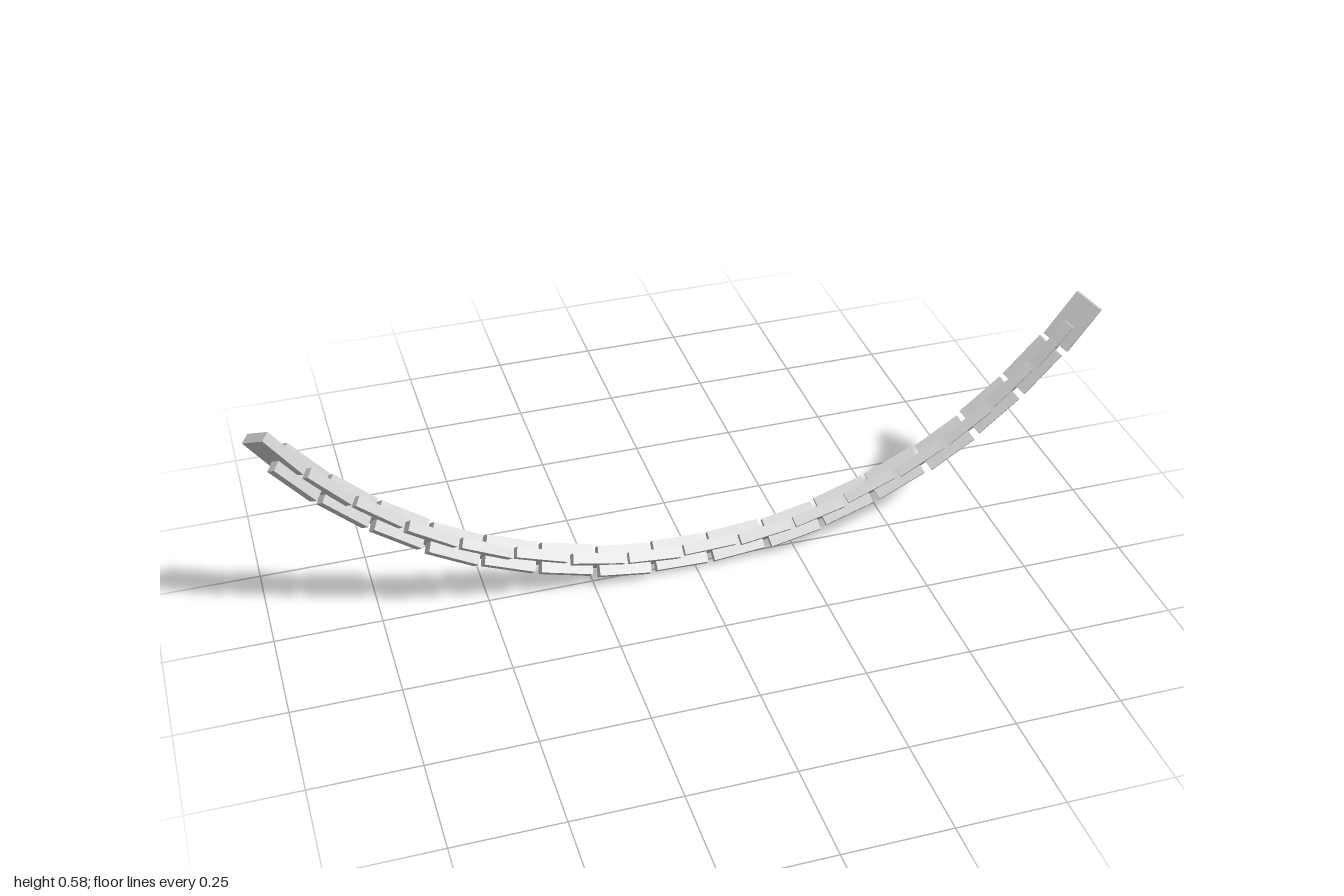
import * as THREE from 'three';

// Hanging chain: flat plates along a circular arc, rolled +-45 degrees in turn
export function createModel() {
  const group = new THREE.Group();
  group.name = 'hangingChain';

  const radius = 1.165, halfAngle = 0.934, count = 32;
  const length = 0.126, width = 0.071, thickness = 0.025;
  const halfDepth = (width + thickness) / 2 / Math.SQRT2;
  const centreY = radius + halfDepth;

  const plate = new THREE.BoxGeometry(length, width, thickness);
  const material = new THREE.MeshStandardMaterial({ color: 0xcccccc, flatShading: true });

  // Links run from the left end (+x) to the right end (-x)
  for (let i = 0; i < count; i++) {
    const angle = halfAngle * (1 - (2 * i) / (count - 1));
    const link = new THREE.Mesh(plate, material);
    link.name = `chainLink${i + 1}`;
    // slight sideways sway that repeats every six links
    const sway = 0.004 * Math.cos((i * Math.PI) / 3);
    link.position.set(radius * Math.sin(angle), centreY - radius * Math.cos(angle), sway);
    link.rotation.set((i % 2 ? 1 : -1) * Math.PI / 4, 0, angle, 'ZYX');
    group.add(link);
  }
  return group;
}
